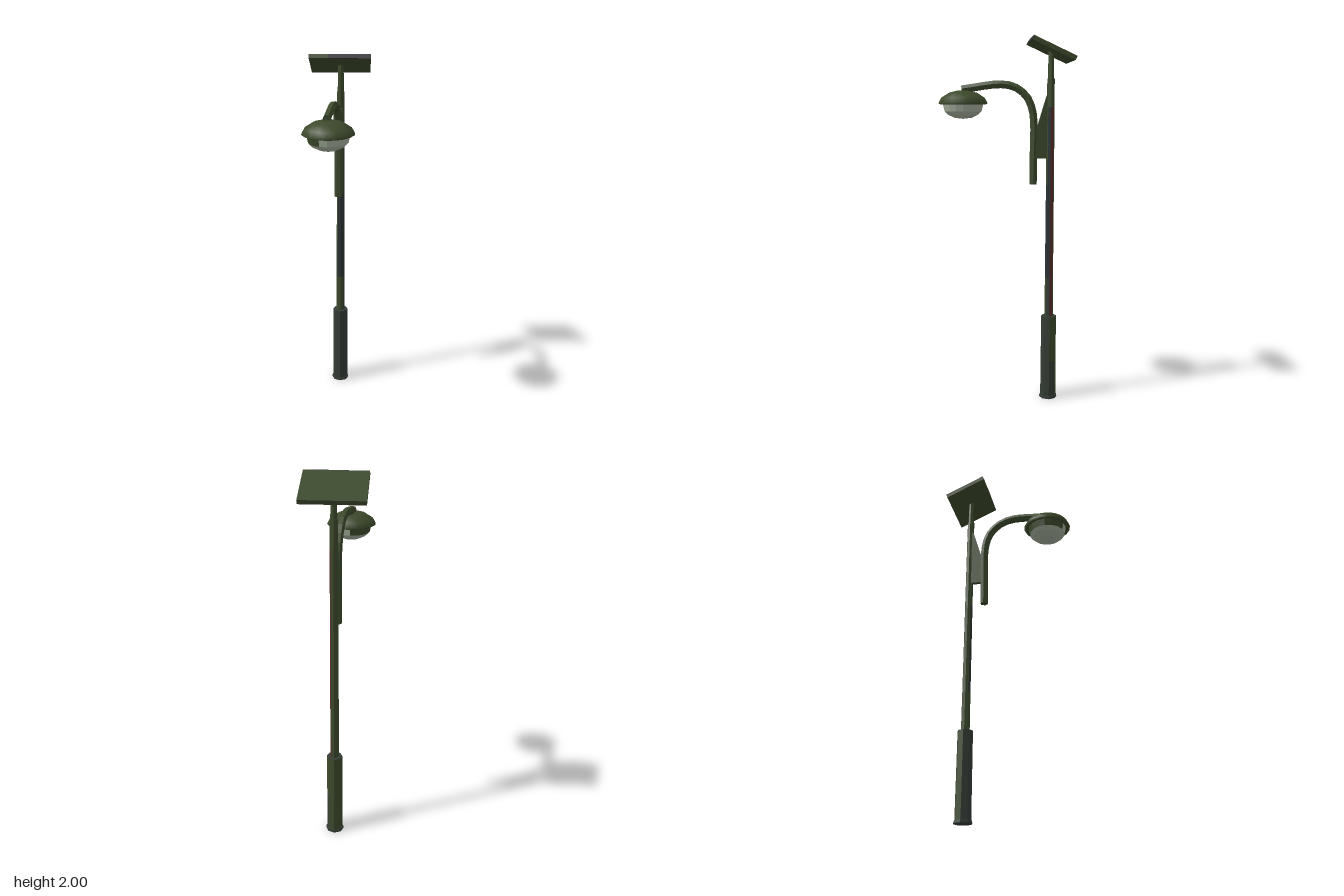
import * as THREE from 'three';

const mat = (name, color) => {
  const m = new THREE.MeshStandardMaterial({ color });
  m.name = name;
  return m;
};

// faceted normals
function flat(geo) {
  const g = geo.index ? geo.toNonIndexed() : geo;
  g.computeVertexNormals();
  return g;
}

export function createModel() {
  const green = mat('mossGreen', 0x3d4a2c);
  const grey = mat('weatheredGrey', 0x353d36);
  const slate = mat('darkSlate', 0x2a3235);
  const rust = mat('rustRed', 0x5c2c2b);
  const charcoal = mat('charcoal', 0x303037);
  const glass = mat('frostedGlass', 0xa6b09e);
  const palette = [green, grey, slate, rust];

  const root = new THREE.Group();
  root.name = 'solarStreetLamp';
  const add = (name, geo, material, x = 0, y = 0, z = 0) => {
    const m = new THREE.Mesh(geo, material);
    m.name = name;
    m.position.set(x, y, z);
    root.add(m);
    return m;
  };
  const V = (x, y, z) => new THREE.Vector3(x, y, z);

  // Octagonal pole pieces; one digit per side picks its colour, counted from the front towards +x
  const PX = 0.009, PZ = -0.244;
  function polePiece(name, y0, y1, r0, r1, sides) {
    const geo = new THREE.CylinderGeometry(r1, r0, y1 - y0, 8);
    geo.clearGroups();
    [...sides].forEach((d, i) => geo.addGroup(i * 6, 6, +d));
    geo.addGroup(48, 48, +sides[0]);
    add(name, flat(geo), palette, PX, (y0 + y1) / 2, PZ);
  }
  polePiece('foot', 0, 0.015, 0.05, 0.048, '11111111');
  polePiece('baseLower', 0.015, 0.22, 0.044, 0.043, '11100011');
  polePiece('baseUpper', 0.22, 0.48, 0.043, 0.042, '11000011');
  polePiece('shaftLower', 0.48, 0.7, 0.024, 0.023, '01300000');
  polePiece('shaftMiddle', 0.7, 1.22, 0.023, 0.022, '22300002');
  polePiece('shaftUpper', 1.22, 1.64, 0.022, 0.021, '02300000');
  polePiece('shaftTop', 1.64, 1.79, 0.021, 0.02, '00000000');
  polePiece('panelNeck', 1.79, 1.935, 0.017, 0.015, '00000000');

  // Tilted solar panel, low edge at the back, with a dark strip along most of its front edge
  const panel = add('solarPanel', new THREE.BoxGeometry(0.323, 0.023, 0.244), green, 0.007, 1.939, -0.243);
  panel.rotation.x = -0.43;
  const strip = new THREE.Mesh(new THREE.BoxGeometry(0.222, 0.023, 0.002), charcoal);
  strip.name = 'panelEdgeStrip';
  strip.position.set(0.0505, 0, 0.123);
  panel.add(strip);

  // Curved hexagonal arm reaching forward over the lamp
  const path = new THREE.CatmullRomCurve3([
    V(0, 1.225, -0.152), V(0, 1.4, -0.153), V(0, 1.53, -0.155), V(-0.001, 1.62, -0.147),
    V(-0.005, 1.69, -0.12), V(-0.012, 1.743, -0.06), V(-0.022, 1.761, 0.018), V(-0.043, 1.735, 0.232),
  ]);
  const hexagon = new THREE.Shape(Array.from({ length: 6 }, (_, i) =>
    new THREE.Vector2(0.022 * Math.cos(i * Math.PI / 3), 0.022 * Math.sin(i * Math.PI / 3))));
  add('lampArm', flat(new THREE.ExtrudeGeometry(hexagon, { steps: 20, extrudePath: path })), green);

  // Gusset plate between arm and pole, outlined as (z, y)
  const outline = [[-0.165, 1.365], [-0.23, 1.365], [-0.235, 1.72], [-0.222, 1.7], [-0.165, 1.51]];
  const plate = new THREE.ExtrudeGeometry(
    new THREE.Shape(outline.map(([z, y]) => new THREE.Vector2(-z, y))), { depth: 0.022, bevelEnabled: false });
  plate.rotateY(Math.PI / 2);
  add('gussetPlate', plate, green, -0.007, 0, 0);

  // Lamp head: smooth domed cap over a faceted glass bowl
  const LX = -0.037, LZ = 0.226;
  const lathe = (pts, seg, start = 0, len = Math.PI * 2) =>
    new THREE.LatheGeometry(pts.map(([r, y]) => new THREE.Vector2(r, y)), seg, start, len);
  add('lampCap', lathe([[0.085, 1.658], [0.12, 1.654], [0.133, 1.661], [0.117, 1.69],
    [0.075, 1.717], [0.035, 1.727], [0, 1.729]], 18), green, LX, 0, LZ);
  // The rim of the bowl is clear at the front and +x side, mossy at the back and -x side
  const lip = [[0.1, 1.618], [0.109, 1.657]];
  const step = Math.PI / 8;
  add('glassBowl', flat(lathe([[0, 1.578], [0.045, 1.583], [0.08, 1.599], [0.1, 1.618]], 16)), glass, LX, 0, LZ);
  add('glassLip', flat(lathe(lip, 9, -step, step * 9)), glass, LX, 0, LZ);
  add('mossyLip', flat(lathe(lip, 7, step * 8, step * 7)), green, LX, 0, LZ);

  return root;
}
